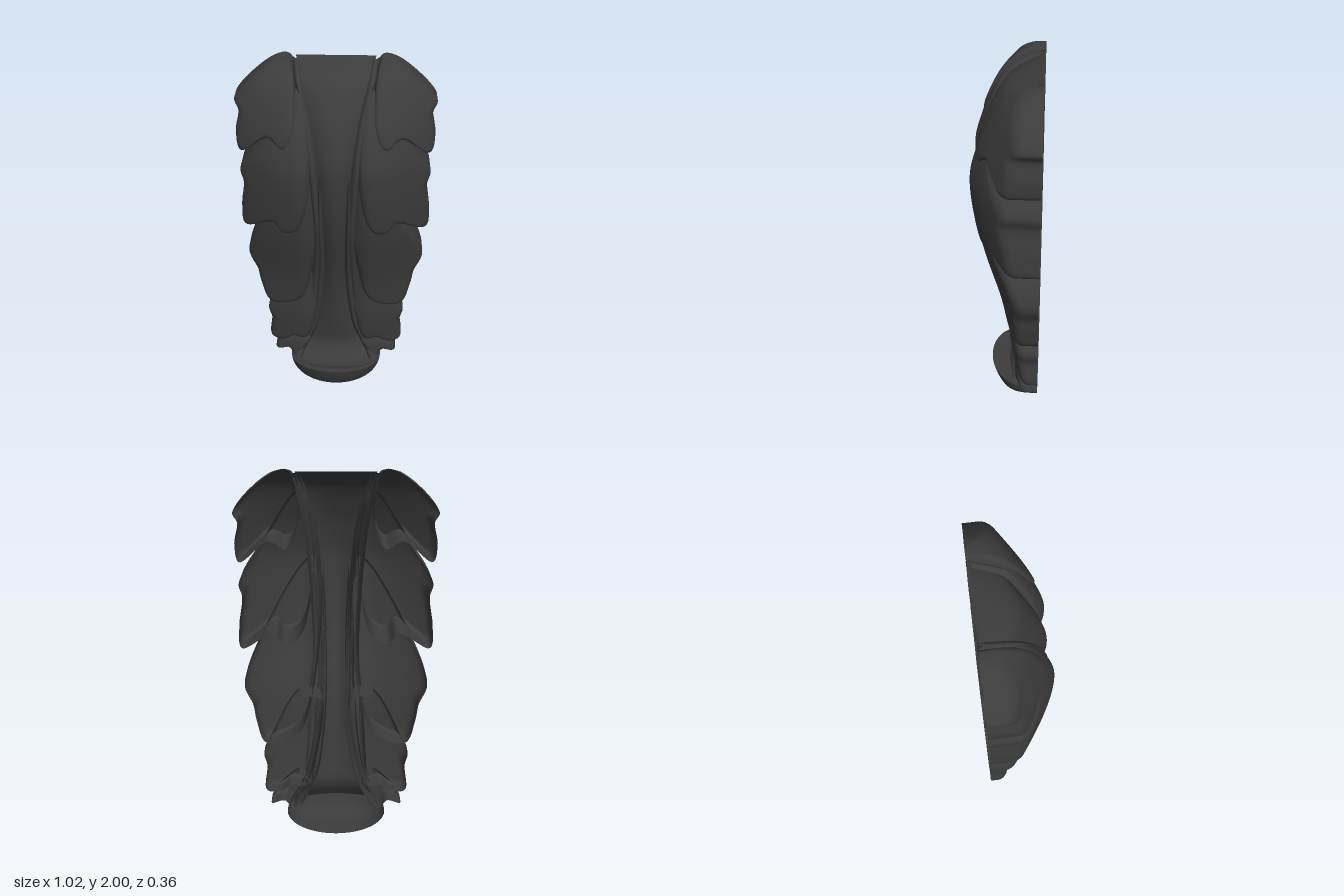
import * as THREE from 'three';

const BACK = -0.18;
const material = new THREE.MeshStandardMaterial({ color: 0x3c3c3c, side: THREE.DoubleSide });
const { clamp, lerp, smoothstep } = THREE.MathUtils;

// Smooth lookup through [key, value] points with falling keys
function lookup(points) {
  const pts = new THREE.SplineCurve(points.map(p => new THREE.Vector2(...p))).getPoints(240);
  return key => {
    let i = 1;
    while (i < pts.length - 1 && pts[i].x > key) i++;
    const a = pts[i - 1], b = pts[i];
    return lerp(a.y, b.y, clamp((a.x - key) / (a.x - b.x || 1), 0, 1));
  };
}

// Front profile of the whole ornament: depth against height
const profile = lookup([
  [2, -0.18], [1.98, -0.07], [1.9, 0.03], [1.77, 0.105], [1.63, 0.155], [1.45, 0.18],
  [1.13, 0.138], [0.76, 0.03], [0.39, -0.035], [0.26, -0.05], [0.16, 0],
]);

// Leaf surface: crest near the stem, falling away to the outside
function leafDepth(x, y) {
  const p = profile(Math.max(y, 0.27)), fullness = clamp((p - BACK) / 0.36, 0, 1), d = Math.abs(x) - 0.18;
  const drop = d > 0 ? Math.pow(d, 1.5) : 6 * d * d;
  return p - drop * (0.3 + 0.7 * fullness);
}

// Surface from a grid of points; rows run downwards or inwards
function surface(name, rows, wrap) {
  const n = rows[0].length, index = [], cols = wrap ? n : n - 1;
  for (let j = 0; j < rows.length - 1; j++) {
    for (let i = 0; i < cols; i++) {
      const a = j * n + i, b = j * n + (i + 1) % n;
      index.push(a, a + n, b, b, a + n, b + n);
    }
  }
  const geo = new THREE.BufferGeometry();
  geo.setAttribute('position', new THREE.Float32BufferAttribute(rows.flat(2), 3));
  geo.setIndex(index);
  geo.computeVertexNormals();
  const mesh = new THREE.Mesh(geo, material);
  mesh.name = name;
  return mesh;
}

// Hollow leaf lobe: outline wall, rounded rim, then rings running in to the centre.
// The first share of the outline (root) lies under the lobe above and has no wall.
function lobe(name, side, sink, root, centre, outline) {
  const curve = new THREE.CatmullRomCurve3(outline.map(p => new THREE.Vector3(...p, 0)), true, 'centripetal');
  const pts = curve.getSpacedPoints(150).slice(0, -1);
  pts.forEach((p, i) => {
    p.walled = i / 150 >= root;
    p.x *= side;
  });
  if (side < 0) pts.reverse();
  const cx = centre[0] * side, cy = centre[1], top = outline[0][1], R = 0.035;
  const rows = [];
  for (let k = 0; k <= 16; k++) {
    rows.push(pts.map(p => {
      const len = Math.hypot(p.x - cx, p.y - cy), rimWidth = Math.min(R, len * 0.6);
      const inset = k <= 6 ? rimWidth * (k / 6) ** 2 : lerp(rimWidth, len, (k - 6) / 10);
      const x = lerp(p.x, cx, inset / len), y = lerp(p.y, cy, inset / len);
      const t = 1 - clamp(inset / R, 0, 1);
      const rim = R * (1 - Math.sqrt(1 - t * t));
      const z = leafDepth(x, y) - rim - sink * smoothstep(y, cy, top);
      return [x, y, Math.max(BACK + 0.005, z)];
    }));
  }
  rows.unshift(pts.map((p, i) => [p.x, p.y, p.walled ? BACK : rows[0][i][2]]));
  return surface(name, rows, true);
}

// Long rounded rib through stations [y, middle x, half width]
function rib(name, side, below, drop, stations) {
  const middle = lookup(stations.map(s => [s[0], s[1]]));
  const half = lookup(stations.map(s => [s[0], s[2]]));
  const rows = [];
  for (let j = 0; j <= 80; j++) {
    const y = lerp(stations[0][0], stations.at(-1)[0], j / 80);
    const m = middle(y) * side, h = half(y), row = [[m - h, y, BACK]];
    for (let i = 0; i <= 24; i++) {
      const u = -Math.cos(Math.PI * i / 24);
      const z = profile(y) - below - 0.06 * smoothstep(y, 1.9, 1.99) - drop * u * u;
      row.push([m + h * u, y, Math.max(BACK + 0.006, z)]);
    }
    row.push([m + h, y, BACK]);
    rows.push(row);
  }
  return surface(name, rows, false);
}

// Curled foot: a lipped bowl profile shrinking towards both ends
function foot() {
  const curve = new THREE.SplineCurve([
    [-0.06, 0.165], [0.02, 0.162], [0.068, 0.175], [0.085, 0.16],
    [0.035, 0.045], [-0.05, 0.006], [-0.18, 0],
  ].map(p => new THREE.Vector2(...p)));
  const rows = curve.getPoints(60).map(p => {
    const row = [];
    for (let i = 0; i <= 48; i++) {
      const angle = Math.PI * i / 48, k = Math.max(Math.sin(angle), 0);
      row.push([-0.265 * Math.cos(angle), 0.14 + (p.y - 0.14) * k, BACK + (p.x - BACK) * Math.pow(k, 0.7)]);
    }
    return row;
  });
  return surface('foot', rows, false);
}

// One half: five overlapping lobes and two slim ribs beside the stem
function leafHalf(side) {
  const half = new THREE.Group();
  half.name = side > 0 ? 'leftLeaves' : 'rightLeaves';
  half.add(lobe('topLobe', side, 0, 0, [0.33, 1.78], [
    [0.23, 1.995], [0.31, 1.985], [0.51, 1.79], [0.488, 1.74], [0.505, 1.63], [0.485, 1.54],
    [0.335, 1.645], [0.25, 1.605], [0.195, 1.72]]));
  half.add(lobe('upperLobe', side, 0.02, 0.15, [0.3, 1.38], [
    [0.18, 1.88], [0.38, 1.61], [0.49, 1.43], [0.475, 1.36], [0.495, 1.2], [0.485, 1.085],
    [0.32, 1.165], [0.27, 1.11], [0.19, 1.14], [0.115, 1.5]]));
  half.add(lobe('middleLobe', side, 0.02, 0.2, [0.26, 0.85], [
    [0.13, 1.5], [0.41, 1.08], [0.477, 0.88], [0.435, 0.77], [0.42, 0.68], [0.37, 0.55],
    [0.2, 0.605], [0.12, 0.85], [0.08, 1.4]]));
  half.add(lobe('lowerLobe', side, 0.025, 0.19, [0.24, 0.45], [
    [0.2, 0.8], [0.35, 0.56], [0.385, 0.49], [0.37, 0.42], [0.375, 0.27], [0.3, 0.262],
    [0.24, 0.3], [0.17, 0.295], [0.1, 0.5], [0.08, 0.8]]));
  half.add(lobe('smallLobe', side, 0.02, 0.25, [0.24, 0.265], [
    [0.2, 0.36], [0.33, 0.25], [0.35, 0.19], [0.28, 0.205], [0.23, 0.16], [0.14, 0.3]]));
  half.add(rib('outerRib', side, 0.024, 0.045, [
    [1.98, 0.198, 0.018], [1.65, 0.125, 0.027], [1.1, 0.09, 0.028], [0.7, 0.112, 0.035], [0.3, 0.15, 0.02]]));
  half.add(rib('innerRib', side, 0.02, 0.04, [
    [1.45, 0.073, 0.005], [1.2, 0.073, 0.018], [0.8, 0.075, 0.025], [0.4, 0.12, 0.028], [0.17, 0.22, 0.03]]));
  return half;
}

export function createModel() {
  const model = new THREE.Group();
  model.name = 'leafCorbel';
  // Central stem, wide at the top and flaring again into the foot
  model.add(rib('centralStem', 1, 0.014, 0.05, [
    [1.99, 0, 0.2], [1.7, 0, 0.125], [1.3, 0, 0.08], [0.7, 0, 0.08], [0.4, 0, 0.13], [0.16, 0, 0.23]]));
  model.add(foot(), leafHalf(1), leafHalf(-1));
  return model;
}
